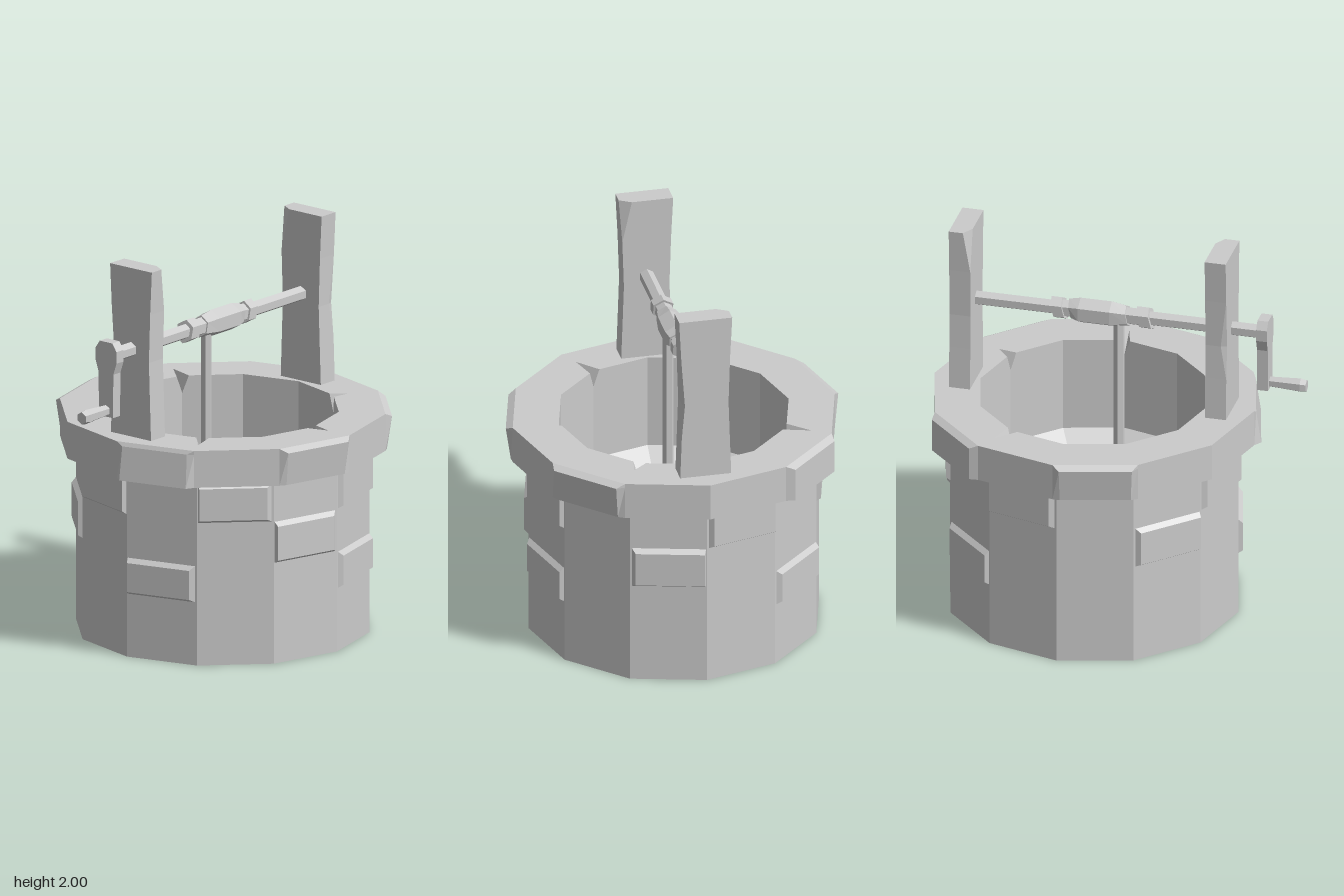
import * as THREE from 'three';

const material = new THREE.MeshStandardMaterial({ color: 0xcccccc, flatShading: true });
const CX = 0.13; // the well shaft sits off the origin because the crank sticks out
const SIDES = 12;

const mesh = (name, geometry) => {
  const m = new THREE.Mesh(geometry, material);
  m.name = name;
  return m;
};

// Skin a list of equal-length point loops; a one-point loop closes an end.
function skin(loops) {
  const pos = [];
  const tri = (a, b, c) => {
    const area = b.clone().sub(a).cross(c.clone().sub(a)).length();
    if (area > 1e-8) pos.push(...a.toArray(), ...b.toArray(), ...c.toArray());
  };
  for (let k = 0; k + 1 < loops.length; k++) {
    const a = loops[k], b = loops[k + 1], n = Math.max(a.length, b.length);
    for (let i = 0; i < n; i++) {
      const j = (i + 1) % n;
      const a0 = a[i % a.length], a1 = a[j % a.length];
      const b0 = b[i % b.length], b1 = b[j % b.length];
      tri(a1, a0, b0);
      tri(a1, b0, b1);
    }
  }
  const g = new THREE.BufferGeometry();
  g.setAttribute('position', new THREE.Float32BufferAttribute(pos, 3));
  g.computeVertexNormals();
  return g;
}

const centre = loop => [loop.reduce((s, p) => s.add(p), new THREE.Vector3()).divideScalar(loop.length)];
const solid = loops => skin([centre(loops[0]), ...loops, centre(loops[loops.length - 1])]);

// Point on the shaft at corner number k
const polar = (r, k, y) => {
  const t = (k * Math.PI * 2) / SIDES;
  return new THREE.Vector3(CX + r * Math.cos(t), y, r * Math.sin(t));
};

// Each corner yields three points: end of one side, corner, start of the next
const ring = fn => Array.from({ length: SIDES * 3 }, (_, n) => fn(Math.floor(n / 3), (n % 3) - 1));

function wellShaft() {
  const R = 0.74, RIM = 0.82, IN = 0.585;
  const notches = { 1: 0.08, 3: 0.1, 5: 0.13, 10: 0.13 };
  // Rim sides that bulge out: how far at the lower and upper edge
  const bulges = { 1: [0.3, 1], 3: [0.3, 1], 5: [1, 0.3], 8: [0.3, 1], 10: [1, 1] };
  const rim = (y, edge) => ring((i, s) => {
    const p = polar(RIM, i, y);
    const bulge = bulges[s < 0 ? (i + SIDES - 1) % SIDES : i];
    if (s === 0 || !bulge) return p;
    const out = 1 + 0.045 * bulge[edge];
    p.lerp(polar(RIM, i + s, y), 0.09);
    return new THREE.Vector3(CX + (p.x - CX) * out, y, p.z * out);
  });
  const inner = (i, side, middle) => {
    if (!(i in notches)) return polar(IN, i, 1.13);
    if (side === 0) return middle;
    return polar(IN, i, 1.13).lerp(polar(IN, i + side, 1.13), 0.11);
  };
  return skin([
    [new THREE.Vector3(CX, 0, 0)],
    ring(i => polar(R, i, 0)),
    ring(i => polar(R, i, 0.94)),
    rim(0.94, 0),
    rim(1.11, 1),
    ring(i => polar(RIM, i, 1.13)),
    ring((i, s) => inner(i, s, polar(IN + notches[i], i, 1.13))),
    ring((i, s) => inner(i, s, polar(IN, i, 1.04))),
    ring(i => polar(IN, i, 0.64)),
    [new THREE.Vector3(CX, 0.2, 0)],
  ]);
}

// Raised stone on one side of the shaft, with bevelled edges
function stone(face, y0, y1, flip) {
  const a = polar(0.738, face, 0), b = polar(0.738, face + 1, 0);
  const at = (u, y, out) => {
    const p = a.clone().lerp(b, u);
    return new THREE.Vector3(CX + (p.x - CX) * out, y, p.z * out);
  };
  const quad = (u0, u1, lo, hi, out) =>
    [at(u0, lo, out), at(u1, lo, out), at(u1, hi, out), at(u0, hi, out)];
  const [u0, u1] = flip ? [0.1, 0.96] : [0.04, 0.91];
  return solid([quad(0, 1, y0, y1, 0.99), quad(u0, u1, y0 + 0.02, y1 - 0.03, 1.035)]);
}

// Post with a slight waist, a chipped top corner and a worn edge
function post() {
  const rows = [ // y, half depth, top chip, edge wear
    [1.12, 0.13, 0, 0], [1.35, 0.122, 0, 0], [1.53, 0.116, 0, 0.03],
    [1.78, 0.124, 0, 0], [2, 0.135, 0.035, 0]];
  const w = 0.054;
  return solid(rows.map(([y, d, chip, wear]) => [
    [w, -d], [w, d - chip * 1.7], [w - chip, d], [-w, d], [-w, -d + wear / 3], [-w + wear, -d],
  ].map(([x, z]) => new THREE.Vector3(x, y, z))));
}

// Six-sided bar along x from [x, radius, lean] stations
function bar(stations, y) {
  return solid(stations.map(([x, r, lean = 0]) => Array.from({ length: 6 }, (_, i) => {
    const t = (i * Math.PI) / 3 + Math.PI / 6;
    const dy = r * Math.sin(t);
    return new THREE.Vector3(x + lean * dy, y + dy, r * Math.cos(t));
  })));
}

// Crank arm: a flat bar widening to a head around the axle
function crankArm() {
  const rows = [[1.275, 0.045], [1.5, 0.048], [1.56, 0.068], [1.62, 0.068], [1.66, 0.04]];
  const w = 0.0275;
  return solid(rows.map(([y, d]) =>
    [[w, -d], [w, d], [-w, d], [-w, -d]].map(([x, z]) => new THREE.Vector3(x - 0.745, y, z))));
}

export function createModel() {
  const model = new THREE.Group();
  model.name = 'well';
  model.add(mesh('shaft', wellShaft()));

  // Raised stones in three courses
  const courses = [
    { y: [0.73, 0.945], faces: [2, 4, 6, 9, 11] },
    { y: [0.515, 0.74], faces: [0, 3, 7] },
    { y: [0.32, 0.52], faces: [2, 5, 10] },
  ];
  const stones = new THREE.Group();
  stones.name = 'raisedStones';
  courses.forEach(({ y, faces }) =>
    faces.forEach((f, i) => stones.add(mesh('stone', stone(f, y[0], y[1], i % 2 === 1)))));
  model.add(stones);

  // Posts, the second turned half round
  const rightPost = mesh('rightPost', post());
  rightPost.position.x = -0.525;
  const leftPost = mesh('leftPost', post());
  leftPost.position.x = 0.788;
  leftPost.rotation.y = Math.PI;
  model.add(rightPost, leftPost);

  // Windlass: axle, wound rope and hanging rope
  const AY = 1.58;
  model.add(mesh('axle', bar([[-0.73, 0.038], [0.75, 0.038]], AY)));
  const wound = new THREE.Group();
  wound.name = 'woundRope';
  wound.add(
    mesh('coil', bar([[-0.165, 0.058, 0.25], [-0.105, 0.058, 0.25]], AY)),
    mesh('core', bar([[-0.12, 0.046], [0.32, 0.046]], AY)),
    mesh('thickCoil', bar([[-0.045, 0.054, 0.2], [0.04, 0.068], [0.2, 0.068], [0.245, 0.055, 0.25]], AY)),
    mesh('coil', bar([[0.28, 0.058, 0.25], [0.335, 0.058, 0.25]], AY)));
  const rope = mesh('hangingRope', new THREE.CylinderGeometry(0.028, 0.028, 1.24, 6));
  rope.position.set(0.003, 0.94, 0);
  model.add(wound, rope);

  // Crank
  const handle = bar([[-0.96, 0.031], [-0.93, 0.037], [-0.76, 0.027]], 1.307);
  model.add(mesh('crankArm', crankArm()), mesh('crankHandle', handle));
  return model;
}
